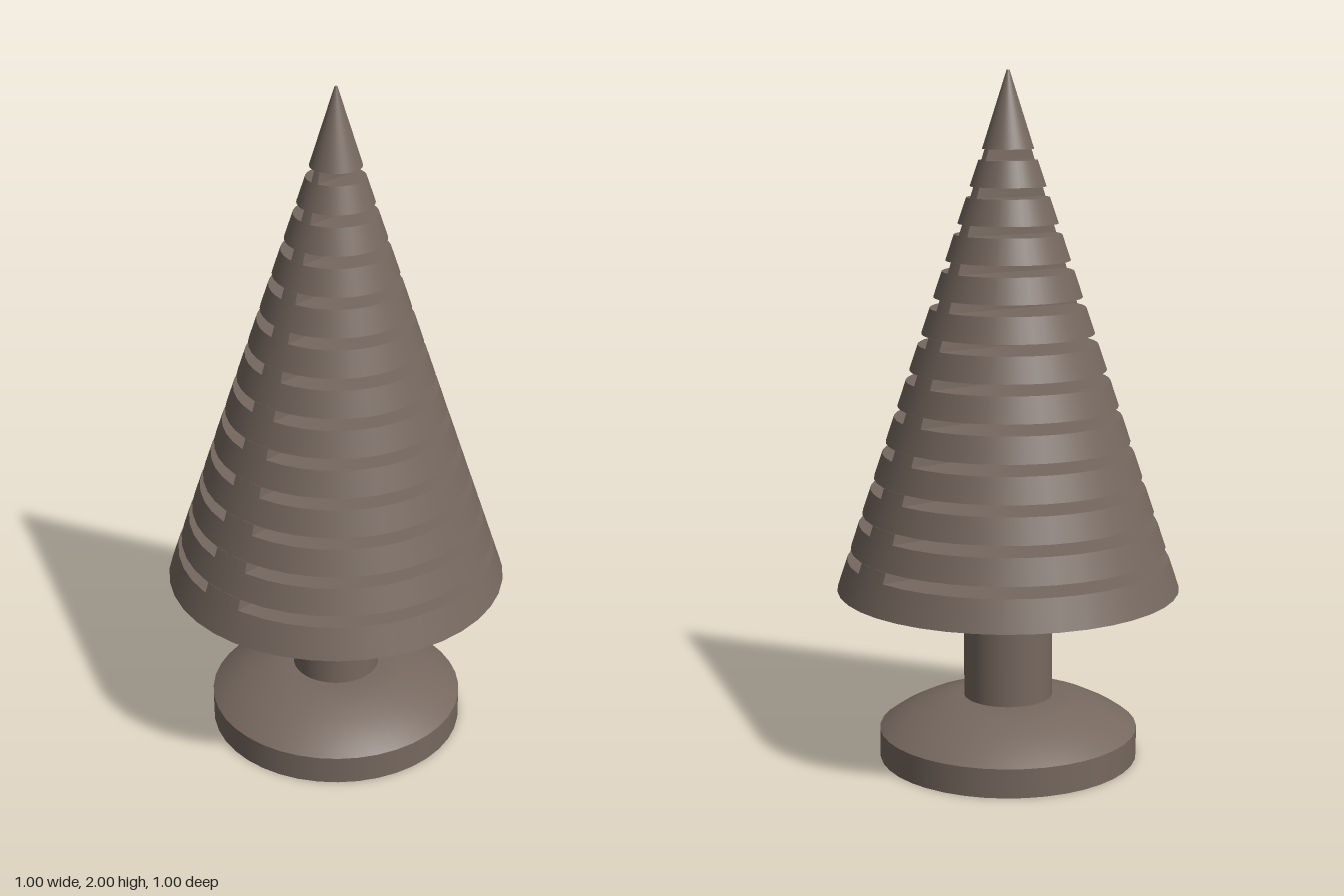
import * as THREE from 'three';

const SEGMENTS = 40;
const RIM_Y = 0.51, TIP_Y = 2, RIM_R = 0.5;
const SLOTS = 12, FIRST_SLOT = 0.6, PITCH = 0.1045, SLOT_H = 0.031;
const SPINE = 0.143; // spine half width as a share of the cone radius

const coneRadius = (y) => Math.max(0.004, RIM_R * (TIP_Y - y) / (TIP_Y - RIM_Y));

export function createModel() {
  const group = new THREE.Group();
  const wood = new THREE.MeshStandardMaterial({ color: 0x76685f });
  wood.name = 'greyBrown';

  const add = (name, geometry, y = 0) => {
    const mesh = new THREE.Mesh(geometry, wood);
    mesh.name = name;
    mesh.position.y = y;
    group.add(mesh);
  };
  const lathe = (points) =>
    new THREE.LatheGeometry(points.map(([r, y]) => new THREE.Vector2(r, y)), SEGMENTS);

  // Round foot: flat bottom and wall, domed top
  add('footBase', new THREE.CylinderGeometry(0.38, 0.38, 0.085, SEGMENTS), 0.0425);
  add('footDome', lathe([[0.38, 0.085], [0.34, 0.113], [0.28, 0.144], [0.21, 0.168], [0.15, 0.18], [0, 0.182]]));

  // Trunk
  add('trunk', new THREE.CylinderGeometry(0.13, 0.13, 0.3, SEGMENTS), 0.3);

  // Bulging underside of the tree
  add('treeUnderside', lathe([[0, 0.434], [0.13, 0.437], [0.25, 0.45], [0.38, 0.476], [0.5, RIM_Y]]));

  // Solid cone slices between the slots, ending in the pointed tip
  for (let i = 0; i <= SLOTS; i++) {
    const y0 = i === 0 ? RIM_Y : FIRST_SLOT + (i - 1) * PITCH + SLOT_H;
    const y1 = i === SLOTS ? TIP_Y : FIRST_SLOT + i * PITCH;
    add(i === SLOTS ? 'treeTip' : 'branchLayer',
      new THREE.CylinderGeometry(coneRadius(y1), coneRadius(y0), y1 - y0, SEGMENTS), (y0 + y1) / 2);
  }

  // Spine cross-section: a disc trimmed to a narrow strip along z
  const half = Math.asin(SPINE);
  const outline = new THREE.Shape();
  outline.absarc(0, 0, 1, Math.PI / 2 - half, Math.PI / 2 + half, false);
  outline.absarc(0, 0, 1, 1.5 * Math.PI - half, 1.5 * Math.PI + half, false);
  outline.closePath();

  // Spine pieces bridging each slot, tapered with the cone
  for (let i = 0; i < SLOTS; i++) {
    const y0 = FIRST_SLOT + i * PITCH;
    const piece = new THREE.ExtrudeGeometry(outline, { depth: SLOT_H, bevelEnabled: false, curveSegments: 4 });
    piece.rotateX(-Math.PI / 2);
    const p = piece.attributes.position;
    for (let v = 0; v < p.count; v++) {
      const r = coneRadius(y0 + p.getY(v));
      p.setXYZ(v, p.getX(v) * r, p.getY(v), p.getZ(v) * r);
    }
    piece.computeVertexNormals();
    add('spine', piece, y0);
  }

  return group;
}
